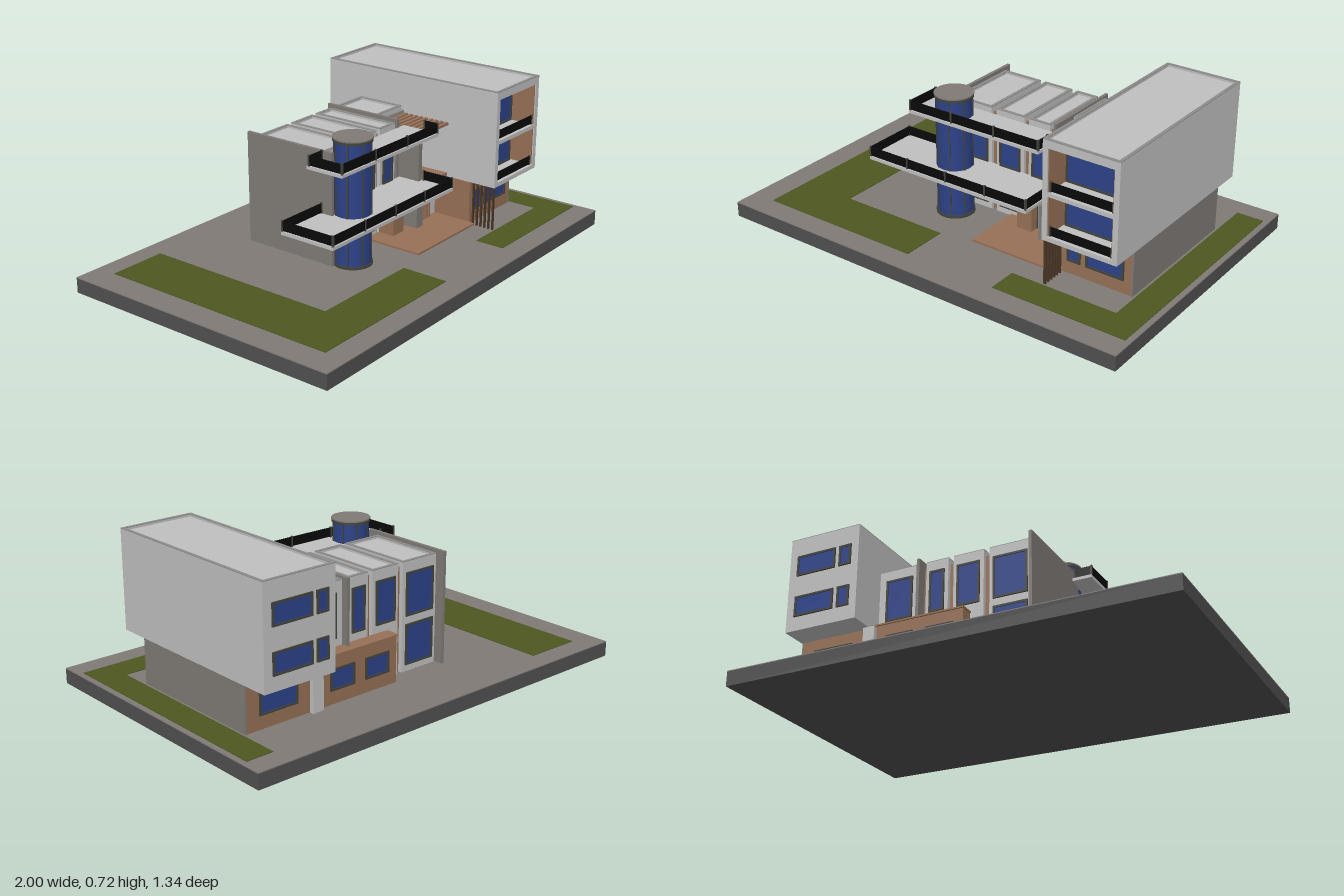
import * as THREE from 'three';

export function createModel() {
  const model = new THREE.Group();
  model.name = 'modernHouse';
  const mat = (name, color) => {
    const m = new THREE.MeshStandardMaterial({ color });
    m.name = name;
    return m;
  };
  const white = mat('paleRender', 0xc0c0c0), stone = mat('greyPaving', 0x7f7a76);
  const base = mat('darkBase', 0x505050), grass = mat('grass', 0x4e5820);
  const glass = mat('blueGlass', 0x2c4288), wood = mat('brownCladding', 0x967056);
  const darkWood = mat('darkTimber', 0x4a3626), black = mat('blackRail', 0x0a0a0a);
  const frameGrey = mat('windowFrame', 0x44443e), trim = mat('parapetTrim', 0x8e8c8a);

  // Box given by its extents on each axis
  const box = (name, m, x0, x1, y0, y1, z0, z1, parent = model) => {
    const mesh = new THREE.Mesh(new THREE.BoxGeometry(x1 - x0, y1 - y0, z1 - z0), m);
    mesh.position.set((x0 + x1) / 2, (y0 + y1) / 2, (z0 + z1) / 2);
    mesh.name = name;
    parent.add(mesh);
    return mesh;
  };
  const group = (name) => {
    const g = new THREE.Group();
    g.name = name;
    model.add(g);
    return g;
  };

  // Thin framed window on a wall facing +z (dir 1) or -z (dir -1)
  const windowZ = (name, x0, x1, y0, y1, z, dir) => {
    const g = group(name), f = 0.009;
    const slab = (n, m, a, b, c, d, t) =>
      box(n, m, a, b, c, d, Math.min(z, z + dir * t), Math.max(z, z + dir * t), g);
    slab('pane', glass, x0 + f, x1 - f, y0 + f, y1 - f, 0.003);
    slab('frameSide', frameGrey, x0, x0 + f, y0, y1, 0.007);
    slab('frameSide', frameGrey, x1 - f, x1, y0, y1, 0.007);
    slab('frameSill', frameGrey, x0 + f, x1 - f, y0, y0 + f, 0.007);
    slab('frameHead', frameGrey, x0 + f, x1 - f, y1 - f, y1, 0.007);
  };

  // Low parapet round a flat roof
  const parapet = (x0, x1, z0, z1, y, h = 0.012, t = 0.014) => {
    const g = group('parapet');
    for (const [a, b, c, d] of [[x0, x1, z0, z0 + t], [x0, x1, z1 - t, z1],
      [x0, x0 + t, z0 + t, z1 - t], [x1 - t, x1, z0 + t, z1 - t]]) {
      box('parapetWall', white, a, b, y, y + h - 0.003, c, d, g);
      box('parapetCap', trim, a, b, y + h - 0.003, y + h, c, d, g);
    }
  };

  // Solid railing band with slim posts along x or z
  const railing = (x0, x1, z0, z1, y, h = 0.045) => {
    const g = group('railing'), t = 0.003;
    box('railBand', black, x0 - t, x1 + t, y + 0.004, y + h, z0 - t, z1 + t, g);
    const n = Math.max(1, Math.round(Math.hypot(x1 - x0, z1 - z0) / 0.2));
    for (let i = 0; i <= n; i++) {
      const x = x0 + (x1 - x0) * i / n, z = z0 + (z1 - z0) * i / n;
      box('railPost', frameGrey, x - 0.004, x + 0.004, y, y + h + 0.004, z - 0.004, z + 0.004, g);
    }
  };

  // Ground slab, paving and lawns
  box('groundBase', base, -1, 1, 0, 0.066, -0.67, 0.67);
  box('paving', stone, -1, 1, 0.066, 0.07, -0.67, 0.67);
  for (const [x0, x1, z0, z1] of [[-0.88, -0.615, -0.57, 0.565], [-0.615, -0.09, 0.35, 0.565],
    [0.85, 0.975, -0.57, 0.565], [0.35, 0.85, 0.43, 0.565]])
    box('lawn', grass, x0, x1, 0.07, 0.073, z0, z1);

  // Tower ground floor
  box('towerBase', wood, 0.5, 0.83, 0.07, 0.28, -0.385, 0.29);
  box('towerBaseSideWall', stone, 0.83, 0.838, 0.07, 0.28, -0.385, 0.292);
  windowZ('baseWindow', 0.525, 0.59, 0.13, 0.225, 0.29, 1);
  windowZ('baseWindow', 0.615, 0.795, 0.13, 0.225, 0.29, 1);
  windowZ('baseBackWindow', 0.58, 0.77, 0.13, 0.225, -0.385, -1);

  // Overhanging tower with an open, recessed front
  box('towerBody', white, 0.49, 0.84, 0.275, 0.708, -0.51, 0.3);
  parapet(0.49, 0.84, -0.51, 0.425, 0.708);
  for (const [x0, x1] of [[0.49, 0.514], [0.816, 0.84]])
    box('towerSideFin', white, x0, x1, 0.275, 0.708, 0.3, 0.425);
  box('towerInnerLining', wood, 0.514, 0.519, 0.3, 0.682, 0.3, 0.42);
  box('towerInnerLining', wood, 0.811, 0.816, 0.3, 0.682, 0.3, 0.42);
  for (const [y0, y1] of [[0.275, 0.295], [0.474, 0.492], [0.682, 0.708]])
    box('towerFloor', white, 0.514, 0.816, y0, y1, 0.3, 0.425);
  for (const [y0, y1] of [[0.295, 0.474], [0.492, 0.682]]) {
    windowZ('towerFrontWindow', 0.519, 0.811, y0, y1, 0.3, 1);
    railing(0.522, 0.808, 0.412, 0.412, y0, 0.042);
  }
  for (const y of [0.34, 0.535]) {
    windowZ('towerBackWindowWide', 0.605, 0.8, y, y + 0.096, -0.51, -1);
    windowZ('towerBackWindowNarrow', 0.525, 0.585, y, y + 0.096, -0.51, -1);
  }
  // Timber screen below the overhang
  for (let i = 0; i < 6; i++) {
    const z = 0.31 + i * 0.021;
    box('screenSlat', darkWood, 0.496, 0.508, 0.07, 0.275, z - 0.003, z + 0.003);
  }

  // Left wing: timber core with pale bays
  box('wingCore', wood, -0.245, 0.285, 0.07, 0.54, -0.305, 0.025);
  box('wingCoreBack', wood, 0.285, 0.49, 0.07, 0.54, -0.305, -0.1);
  const bays = [[-0.24, -0.045], [-0.018, 0.127], [0.152, 0.26], [0.29, 0.49]];
  bays.forEach(([x0, x1], i) => {
    const z1 = i === 3 ? -0.09 : 0.04;
    box('wingBay', white, x0, x1, 0.07, 0.553, -0.325, z1);
    parapet(x0, x1, -0.325, z1, 0.553);
    const m = i === 3 ? 0.035 : 0.018;
    windowZ('bayBackWindow', x0 + m, x1 - m, 0.32, 0.515, -0.325, -1);
    if (i < 3) {
      windowZ('bayFrontWindowLower', x0 + m, x1 - m, 0.1, 0.285, 0.04, 1);
      windowZ('bayFrontWindowUpper', x0 + m, x1 - m, 0.3, 0.505, 0.04, 1);
    }
  });
  windowZ('bayBackWindowLower', -0.222, -0.063, 0.1, 0.285, -0.325, -1);
  box('wingEndWall', stone, -0.26, -0.245, 0.07, 0.578, -0.365, 0.1);
  box('wingDividingWall', stone, 0.278, 0.292, 0.07, 0.575, -0.355, 0.04);

  // Low rear extension
  box('rearExtension', wood, 0.045, 0.5, 0.07, 0.278, -0.385, -0.325);
  box('rearExtensionCoping', wood, 0.04, 0.5, 0.278, 0.285, -0.392, -0.325);
  windowZ('rearWindow', 0.09, 0.22, 0.13, 0.225, -0.385, -1);
  windowZ('rearWindow', 0.28, 0.41, 0.13, 0.225, -0.385, -1);
  box('rearPier', white, 0.46, 0.515, 0.07, 0.275, -0.405, -0.385);

  // Entrance: step, walls, door and slatted panel
  box('entranceStep', wood, 0.06, 0.5, 0.07, 0.079, 0.04, 0.32);
  box('entranceWoodWall', wood, 0.15, 0.225, 0.079, 0.285, 0.04, 0.12);
  box('entranceDoor', frameGrey, 0.225, 0.285, 0.079, 0.285, 0.04, 0.08);
  box('doorPanel', trim, 0.235, 0.28, 0.079, 0.235, 0.08, 0.085);
  box('entranceGreyWall', stone, 0.285, 0.33, 0.079, 0.24, 0.025, 0.15);
  box('entranceUpperWall', stone, 0.3, 0.325, 0.24, 0.53, -0.09, 0.145);
  box('entrancePaleWall', white, 0.33, 0.5, 0.079, 0.28, -0.09, 0.1);
  for (let i = 0; i < 4; i++)
    box('entranceSlat', wood, 0.365 + i * 0.022, 0.375 + i * 0.022, 0.079, 0.28, 0.1, 0.115);
  box('terraceFloor', wood, 0.325, 0.495, 0.28, 0.293, -0.09, 0.17);

  // Pergola between wing and tower
  for (let i = 0; i < 9; i++) {
    const z = -0.06 + i * 0.028;
    box('pergolaSlat', wood, 0.325, 0.49, 0.522, 0.534, z - 0.008, z + 0.008);
  }
  box('pergolaEdge', trim, 0.31, 0.49, 0.522, 0.545, -0.09, -0.075);

  // Two balconies wrapping the stair drum
  box('lowerBalcony', white, -0.515, 0.33, 0.285, 0.3, 0.04, 0.31);
  railing(-0.511, 0.326, 0.306, 0.306, 0.3);
  railing(-0.511, -0.511, 0.044, 0.306, 0.3);
  railing(0.326, 0.326, 0.155, 0.306, 0.3);
  railing(-0.511, -0.262, 0.044, 0.044, 0.3);
  box('upperBalcony', white, -0.35, 0.33, 0.522, 0.536, 0.04, 0.226);
  railing(-0.346, 0.326, 0.222, 0.222, 0.536);
  railing(-0.346, -0.346, 0.05, 0.222, 0.536);
  railing(0.326, 0.326, 0.155, 0.222, 0.536);
  railing(-0.346, -0.265, 0.05, 0.05, 0.536);

  // Glazed stair drum with rings and mullions
  const drum = group('stairDrum');
  drum.position.set(-0.17, 0, 0.14);
  const disc = (name, m, r, y0, y1) => {
    const mesh = new THREE.Mesh(new THREE.CylinderGeometry(r, r, y1 - y0, 40), m);
    mesh.position.y = (y0 + y1) / 2;
    mesh.name = name;
    drum.add(mesh);
  };
  disc('drumGlass', glass, 0.081, 0.07, 0.63);
  disc('drumFoot', frameGrey, 0.086, 0.07, 0.082);
  disc('drumTopRing', frameGrey, 0.086, 0.622, 0.634);
  disc('drumRoof', stone, 0.087, 0.634, 0.64);
  for (let i = 0; i < 8; i++) {
    const a = (i + 0.5) * Math.PI / 4;
    const bar = box('drumMullion', frameGrey, -0.003, 0.003, 0.08, 0.625, -0.003, 0.003, drum);
    bar.position.x = Math.sin(a) * 0.081;
    bar.position.z = Math.cos(a) * 0.081;
    bar.rotation.y = a;
  }
  return model;
}
